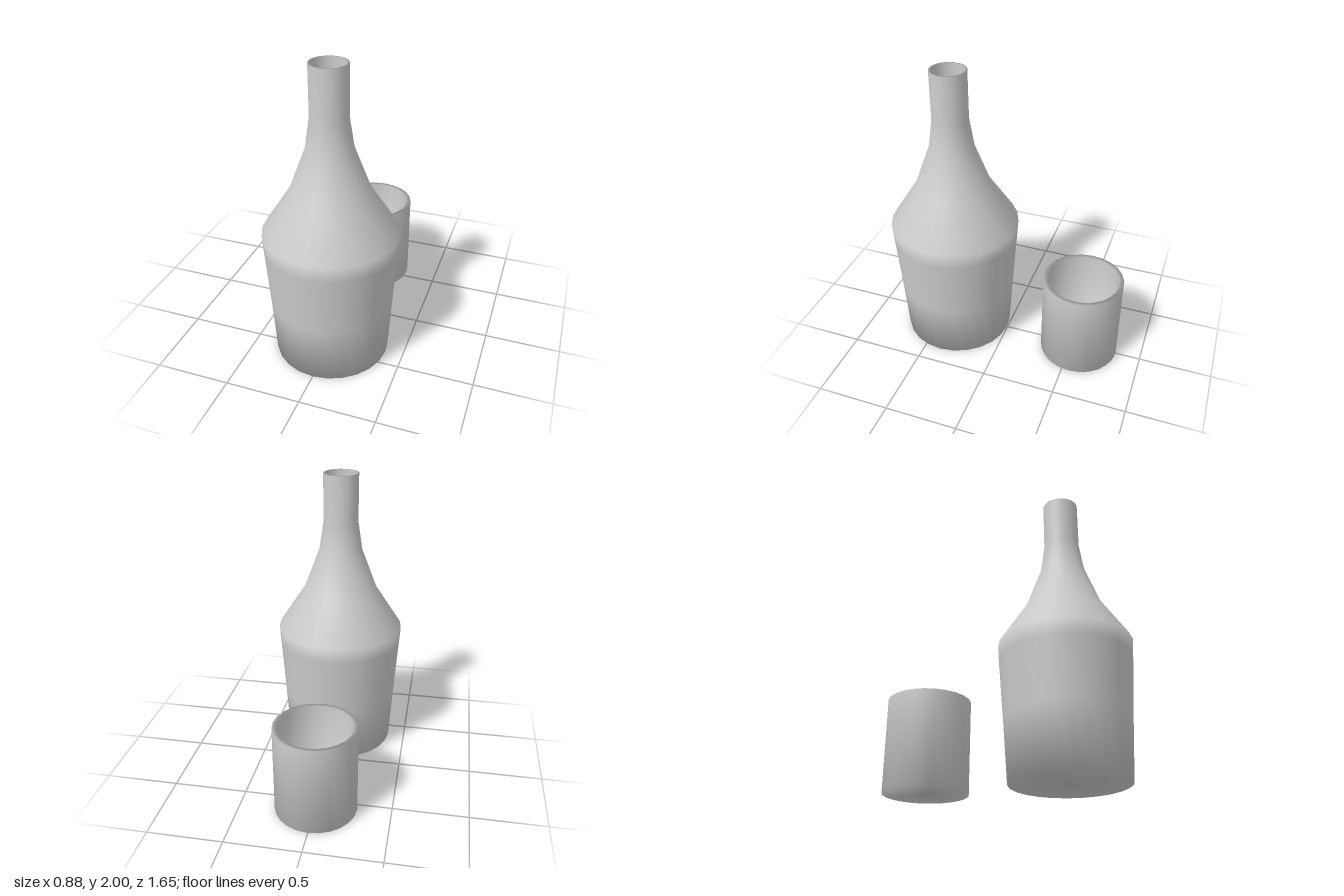
import * as THREE from 'three';

const SIDES = 24;

// Turned vessel: the profile runs from the base centre up the outside, over the rim and down the inside
function vessel(name, profile, z) {
  const points = profile.map(([r, y]) => new THREE.Vector2(r, y));
  const mesh = new THREE.Mesh(
    new THREE.LatheGeometry(points, SIDES),
    new THREE.MeshStandardMaterial({ color: 0xcccccc })
  );
  mesh.name = name;
  mesh.position.z = z;
  return mesh;
}

export function createModel() {
  const group = new THREE.Group();
  group.name = 'bottleAndCup';

  // Bottle: tapered body, sloping shoulder, straight neck
  const outer = [
    [0.38, 0], [0.405, 0.4], [0.433, 0.8], [0.44, 0.905],
    [0.255, 1.19], [0.15, 1.47], [0.12, 1.67], [0.12, 2],
  ];
  const wall = 0.012;
  const inner = outer.map(([r, y], i) => [r - wall, i === 0 ? wall : y]).reverse();
  group.add(vessel('bottle', [[0, 0], ...outer, ...inner, [0, wall]], 0.385));

  // Cup: straight, thicker wall
  group.add(vessel('cup', [
    [0, 0], [0.275, 0], [0.275, 0.615],
    [0.245, 0.615], [0.245, 0.03], [0, 0.03],
  ], -0.552));

  return group;
}
